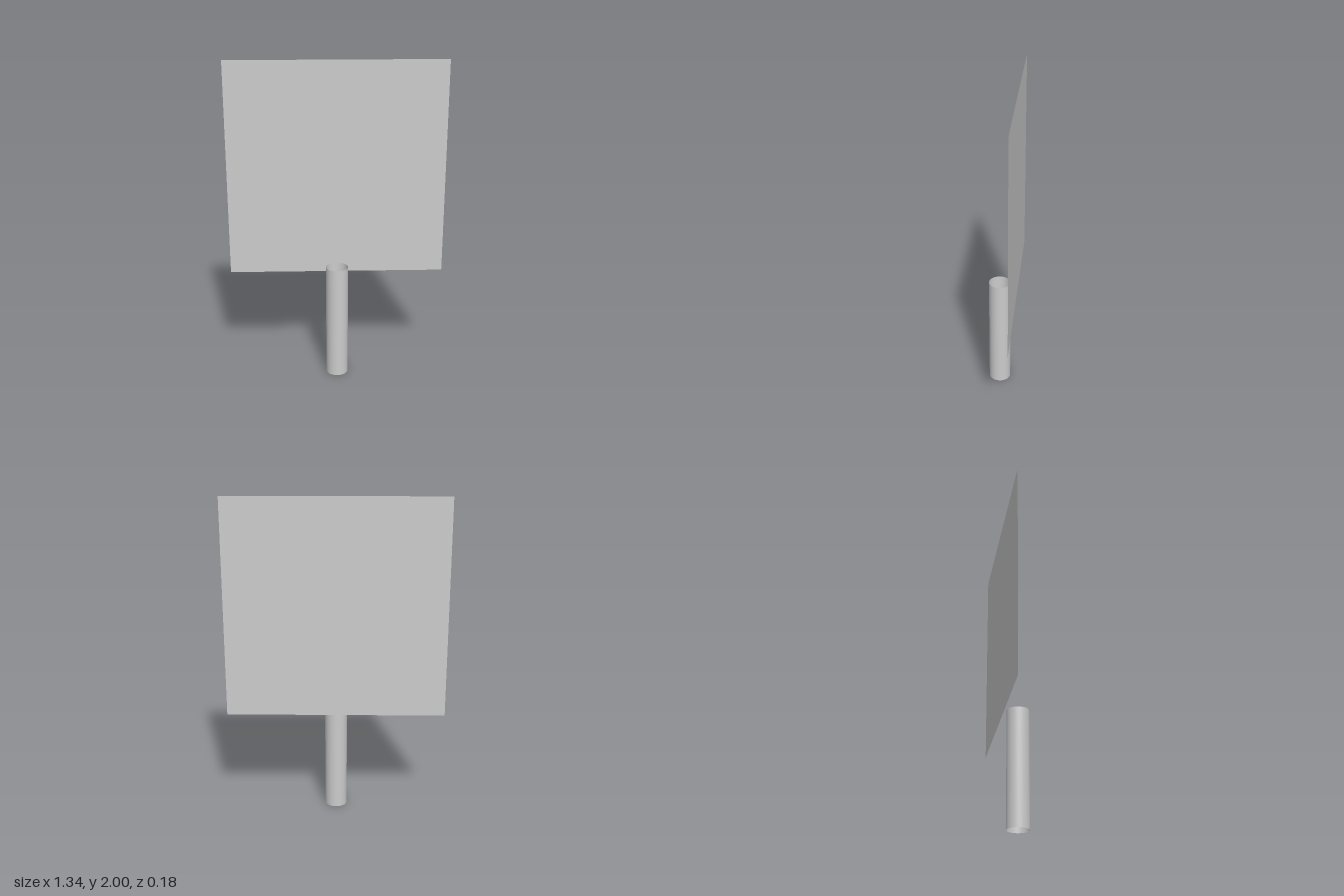
import * as THREE from 'three';

export function createModel() {
  const model = new THREE.Group();
  const material = new THREE.MeshStandardMaterial({ color: 0xcccccc, side: THREE.DoubleSide });

  const addPart = (name, geometry, x, y, z) => {
    const mesh = new THREE.Mesh(geometry, material);
    mesh.name = name;
    mesh.position.set(x, y, z);
    model.add(mesh);
  };

  // Thin square sign panel, standing just behind the post
  const panelSize = 1.344;
  addPart('signPanel', new THREE.PlaneGeometry(panelSize, panelSize), 0, 2 - panelSize / 2, -0.089);

  // Hollow round post, open at both ends
  const postHeight = 0.73;
  addPart('post', new THREE.CylinderGeometry(0.069, 0.069, postHeight, 32, 1, true), 0, postHeight / 2, 0.02);

  return model;
}
